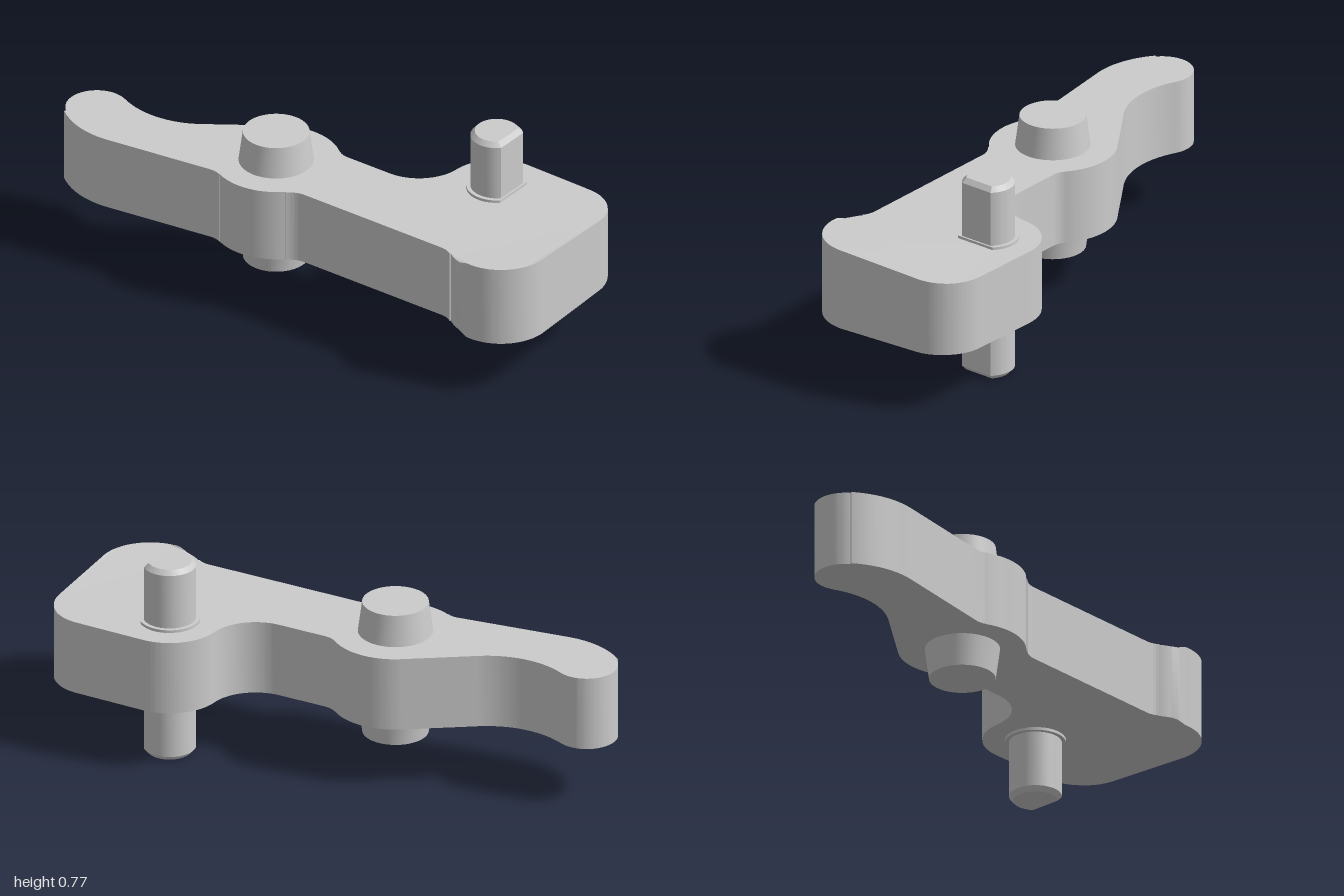
import * as THREE from 'three';
import { toCreasedNormals } from 'three/addons/utils/BufferGeometryUtils.js';

const material = new THREE.MeshStandardMaterial({ color: 0xcccccc });
const rad = THREE.MathUtils.degToRad;
const clamp01 = (v) => THREE.MathUtils.clamp(v, 0, 1);

function addMesh(group, name, geometry) {
  const mesh = new THREE.Mesh(toCreasedNormals(geometry, 0.5), material);
  mesh.name = name;
  group.add(mesh);
  return mesh;
}

// Extrudes a plan shape (x, z) between two heights, with an optional chamfer
function extrudeUp(shape, bottom, top, chamfer = 0, chamferHeight = 0) {
  const geometry = new THREE.ExtrudeGeometry(shape, {
    depth: top - bottom - 2 * chamferHeight,
    curveSegments: 20,
    bevelEnabled: chamfer > 0,
    bevelSize: chamfer,
    bevelOffset: -chamfer,
    bevelThickness: chamferHeight,
    bevelSegments: 1,
  });
  return geometry.rotateX(Math.PI / 2).translate(0, top - chamferHeight, 0);
}

// Arcs of the lever outline: centre x, centre z, radius, start and end angle.
// Rising angles are outer curves, falling angles are inner fillets;
// straight edges join one arc to the next.
const outline = [
  [-0.27, -0.8, 0.322, 158.7, 205],
  [-0.45, -0.885, 0.115, 205, 371.4],
  [-0.013, -0.797, 0.33, 191.4, 128.8],
  [-0.17, -0.185, 0.235, -51.2, 25],
  [0.116, -0.051, 0.08, 205, 165.6],
  [0.261, 0.108, 0.18, 165.6, 79.4],
  [0.33, 0.475, 0.194, 259.4, 345],
  [0.422, 0.742, 0.166, -15, 76],
  [0.08, 0.81, 0.19, 76, 203.6],
  [-0.172, 0.70, 0.08, 23.6, -14.5],
  [-0.347, 0.105, 0.1, -14.5, -58.6],
  [-0.17, -0.185, 0.235, 121.4, 191.8],
  [-0.48, -0.25, 0.08, 11.8, -21.3],
];

function leverGeometry() {
  const shape = new THREE.Shape();
  for (const [x, z, r, a, b] of outline) shape.absarc(x, z, r, rad(a), rad(b), b < a);
  const geometry = extrudeUp(shape, 0.245, 0.532);
  // The front corner is very slightly thicker
  const p = geometry.attributes.position;
  for (let i = 0; i < p.count; i++) {
    const swell = 0.014 * clamp01((0.57 - p.getX(i)) / 0.34) * clamp01((p.getZ(i) - 0.8) / 0.04);
    p.setY(i, p.getY(i) + (p.getY(i) > 0.4 ? swell : -swell));
  }
  return geometry;
}

// Round section with one flat side
function flattedCircle(radius, flatDistance) {
  const half = Math.acos(flatDistance / radius);
  const shape = new THREE.Shape();
  shape.absarc(0, 0, radius, rad(76) + half, rad(76) - half + Math.PI * 2, false);
  return shape;
}

export function createModel() {
  const model = new THREE.Group();
  model.name = 'pivotLever';
  addMesh(model, 'leverBody', leverGeometry());

  // Tapered bosses above and below the hub
  const boss = new THREE.CylinderGeometry(0.122, 0.139, 0.13, 48);
  addMesh(model, 'upperBoss', boss).position.set(-0.173, 0.587, -0.185);
  const lower = addMesh(model, 'lowerBoss', boss);
  lower.position.set(-0.173, 0.19, -0.185);
  lower.rotation.x = Math.PI;

  // Through pin with a flat side, chamfered ends and a shallow collar
  const pin = new THREE.Group();
  pin.name = 'pin';
  pin.position.set(0.33, 0, 0.475);
  addMesh(pin, 'pinShaft', extrudeUp(flattedCircle(0.097, 0.07), 0, 0.775, 0.016, 0.018));
  addMesh(pin, 'pinCollar', extrudeUp(flattedCircle(0.112, 0.077), 0.234, 0.543));
  model.add(pin);

  return model;
}
